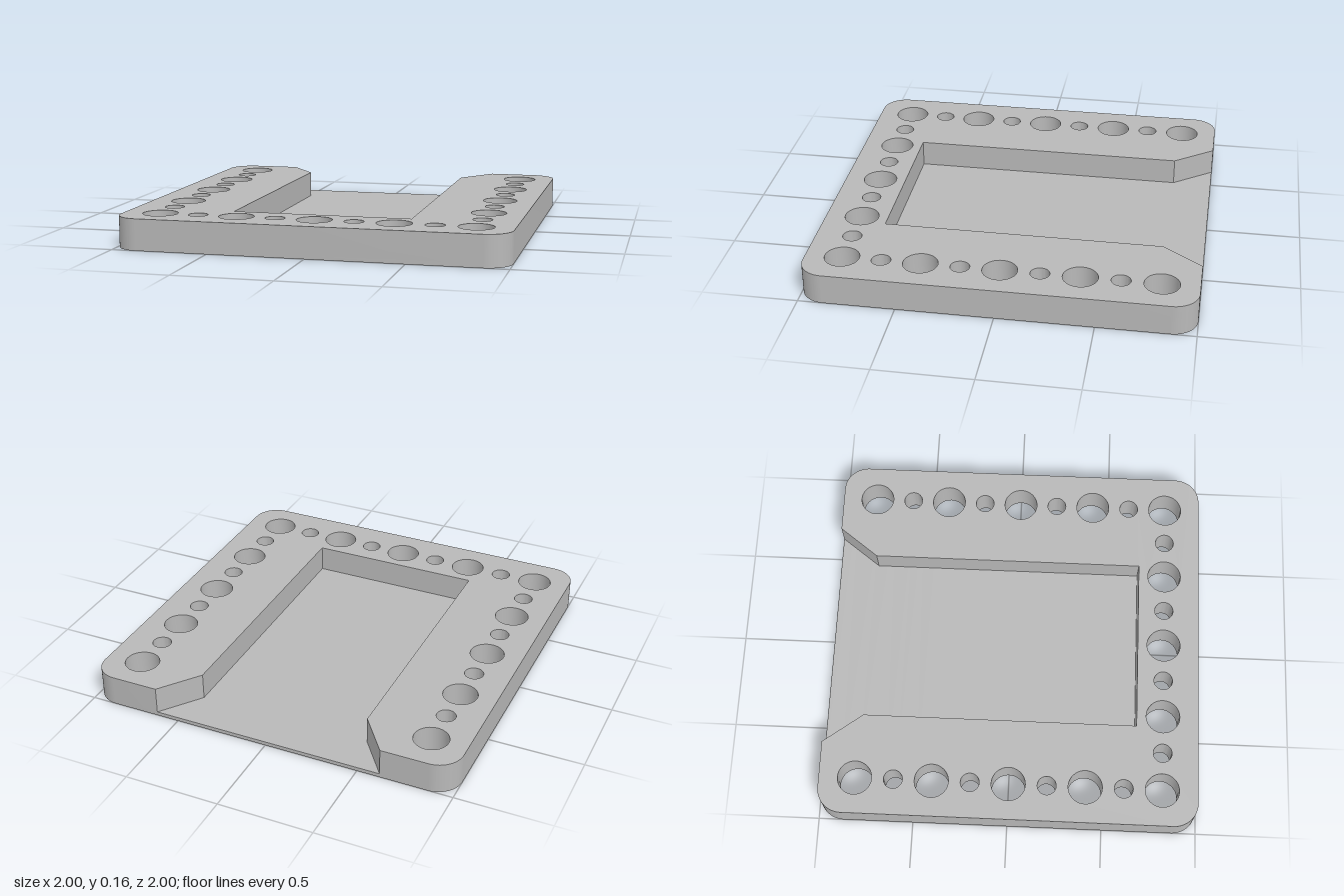
import * as THREE from 'three';
import { toCreasedNormals } from 'three/addons/utils/BufferGeometryUtils.js';

const HEIGHT = 0.162, FLOOR = 0.02, RADIUS = 0.13;
const PITCH = 0.2025, BIG = 0.09, SMALL = 0.05;

// Outlines are drawn in plan, with shape y pointing to the back (-z)
function addHoles(shape) {
  const hole = (x, y, r) => {
    const p = new THREE.Path();
    p.absarc(x, y, r, 0, Math.PI * 2, true);
    shape.holes.push(p);
  };
  // Alternating large and small holes along both sides and the front
  for (let i = -4; i <= 4; i++) {
    const r = i % 2 === 0 ? BIG : SMALL;
    hole(-4 * PITCH, i * PITCH, r);
    hole(4 * PITCH, i * PITCH, r);
    if (Math.abs(i) < 4) hole(i * PITCH, -4 * PITCH, r);
  }
  return shape;
}

// Rounded square; with a pocket it is open at the back with a flared mouth
function plateShape(withPocket) {
  const s = new THREE.Shape(), c = 1 - RADIUS, q = Math.PI / 2;
  s.moveTo(-c, -1);
  s.lineTo(c, -1);
  s.absarc(c, -c, RADIUS, -q, 0, false);
  s.lineTo(1, c);
  s.absarc(c, c, RADIUS, 0, q, false);
  if (withPocket) {
    s.lineTo(0.62, 1);
    s.lineTo(0.463, 0.79);
    s.lineTo(0.463, -0.67);
    s.lineTo(-0.463, -0.67);
    s.lineTo(-0.463, 0.79);
    s.lineTo(-0.62, 1);
  }
  s.lineTo(-c, 1);
  s.absarc(-c, c, RADIUS, q, 2 * q, false);
  s.lineTo(-1, -c);
  s.absarc(-c, -c, RADIUS, 2 * q, 3 * q, false);
  return addHoles(s);
}

function slab(name, shape, y0, y1, material) {
  const geo = new THREE.ExtrudeGeometry(shape, {
    depth: y1 - y0, bevelEnabled: false, curveSegments: 20,
  });
  geo.rotateX(-Math.PI / 2);
  geo.translate(0, y0, 0);
  const mesh = new THREE.Mesh(toCreasedNormals(geo, Math.PI / 6), material);
  mesh.name = name;
  return mesh;
}

export function createModel() {
  const group = new THREE.Group();
  group.name = 'mountingPlate';
  const grey = new THREE.MeshStandardMaterial({ color: 0xb8b8b8 });
  grey.name = 'grey';
  // Thin floor, then the raised rim around the pocket
  group.add(slab('floorPlate', plateShape(false), 0, FLOOR, grey));
  group.add(slab('pocketRim', plateShape(true), FLOOR, HEIGHT, grey));
  return group;
}
